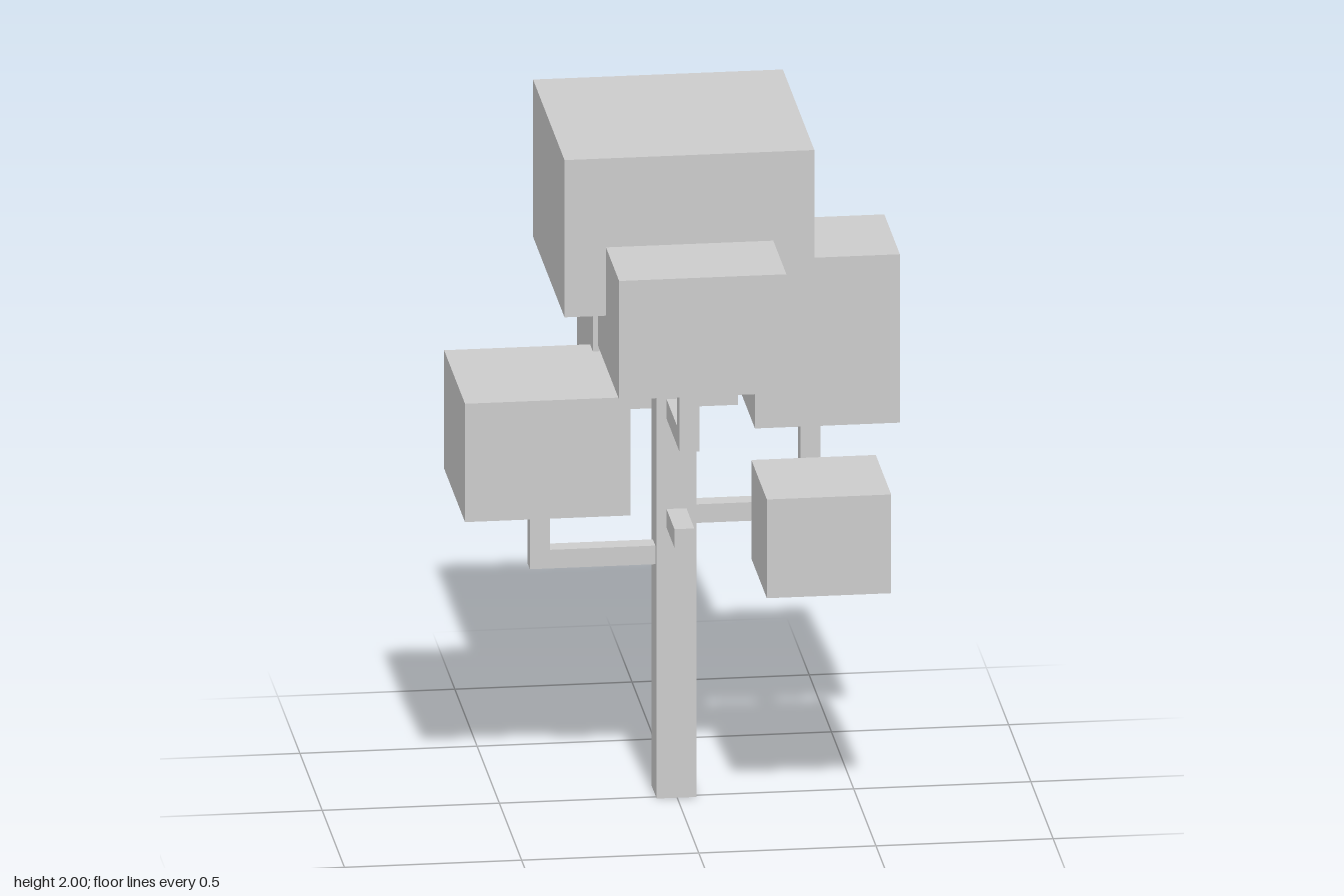
import * as THREE from 'three';

export function createModel() {
  const tree = new THREE.Group();
  tree.name = 'tree';
  const material = new THREE.MeshStandardMaterial({ color: 0xcccccc, flatShading: true });

  // Box given by its extents along each axis
  function block(name, [x0, x1], [y0, y1], [z0, z1]) {
    const mesh = new THREE.Mesh(new THREE.BoxGeometry(x1 - x0, y1 - y0, z1 - z0), material);
    mesh.position.set((x0 + x1) / 2, (y0 + y1) / 2, (z0 + z1) / 2);
    mesh.name = name;
    tree.add(mesh);
  }

  // Trunk, and the thickness shared by all branches
  block('trunk', [-0.058, 0.055], [0, 1.535], [-0.1, 0.015]);
  const midX = [-0.03, 0.026];
  const midZ = [-0.07, -0.015];

  // Foliage blocks
  block('crownFoliage', [-0.355, 0.35], [1.535, 2], [-0.397, 0.31]);
  block('frontFoliage', [-0.238, 0.234], [1.386, 1.737], [0.13, 0.605]);
  block('leftFoliage', [0.205, 0.614], [1.122, 1.62], [-0.22, 0.13]);
  block('rightFoliage', [-0.617, -0.15], [0.89, 1.24], [-0.31, 0.16]);
  block('lowFoliage', [0.205, 0.556], [0.71, 1.002], [0.05, 0.397]);
  block('backFoliage', [-0.205, 0.205], [1.065, 1.415], [-0.6, -0.247]);

  // Bent branches: a horizontal arm and an upright end
  block('frontBranchArm', midX, [1.122, 1.18], [0.015, 0.31]);
  block('frontBranchUpright', midX, [1.18, 1.386], [0.254, 0.31]);
  block('leftBranchArm', [0.055, 0.408], [0.8, 0.855], midZ);
  block('leftBranchUpright', [0.352, 0.408], [0.855, 1.122], midZ);
  block('rightBranchArm', [-0.412, -0.058], [0.683, 0.738], midZ);
  block('rightBranchUpright', [-0.412, -0.355], [0.738, 0.89], midZ);

  // Straight branch to the back foliage, and two bare stubs
  block('backBranch', midX, [1.24, 1.297], [-0.247, -0.1]);
  block('frontStub', midX, [0.8, 0.855], [0.015, 0.192]);
  block('backStub', midX, [0.683, 0.738], [-0.277, -0.1]);

  return tree;
}
